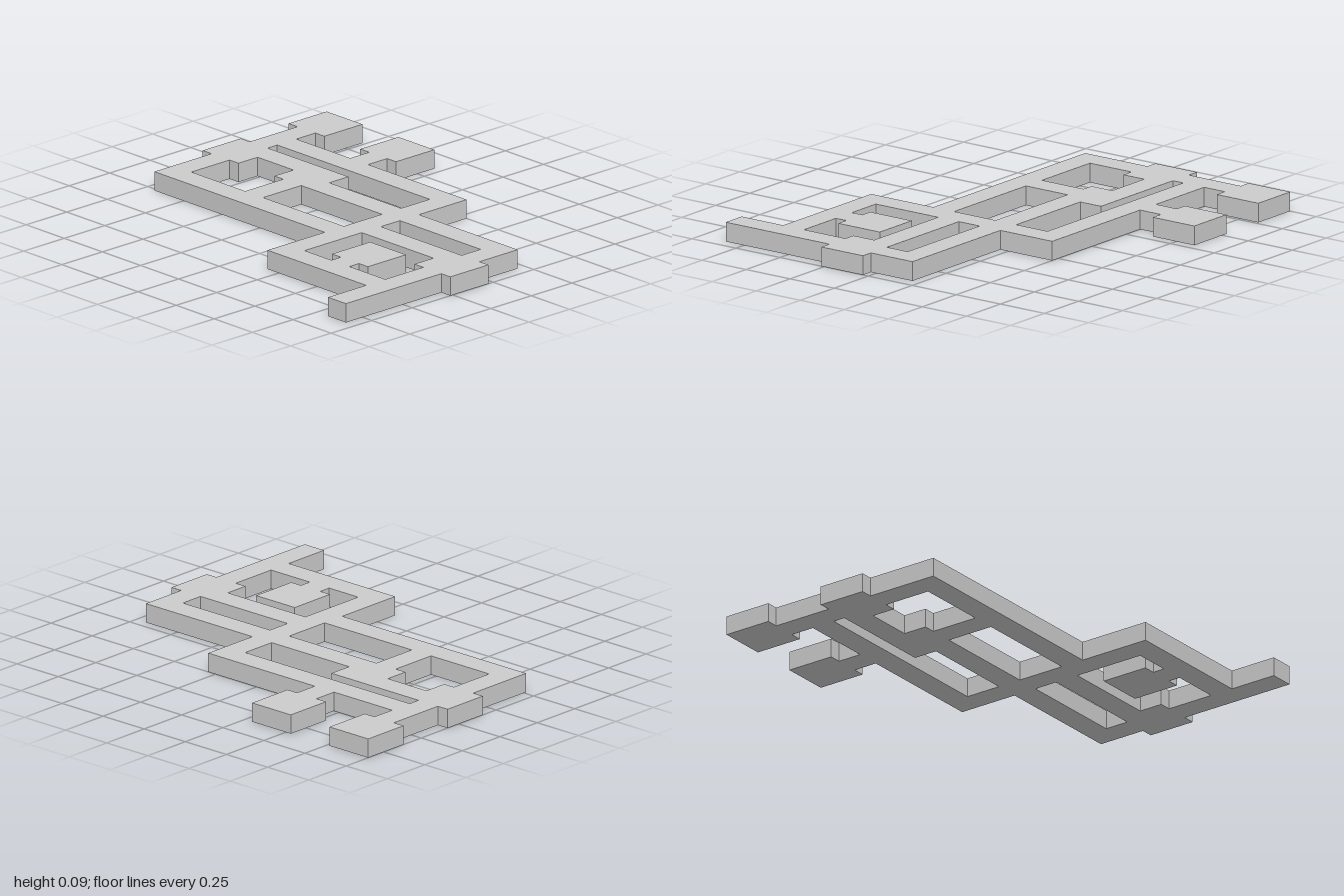
import * as THREE from 'three';

// Floor plan laid out on a square grid: 29 cells wide (x), 34 cells deep (z)
const CELL = 1 / 17;
const HEIGHT = 0.09;

const toPoints = (corners) =>
  corners.map(([x, z]) => new THREE.Vector2((x - 14.5) * CELL, (17 - z) * CELL));

// Outer edge of the connected corridors and square rooms, counter-clockwise from above
const outline = [
  [10, 20], [4, 20], [4, 31], [0, 31], [0, 33], [10, 33], [10, 34], [14, 34],
  [14, 33], [18, 33], [18, 22], [23, 22], [23, 11], [25, 11], [25, 12], [29, 12],
  [29, 8], [25, 8], [25, 9], [23, 9], [23, 3], [25, 3], [25, 4], [29, 4],
  [29, 0], [25, 0], [25, 1], [20, 1], [20, 0], [16, 0], [16, 1], [10, 1],
];

// Open courts enclosed by the corridors, clockwise from above
const courts = [
  // back court, notched by two rooms
  [[12, 3], [16, 3], [16, 4], [18, 4], [18, 8], [16, 8], [16, 9], [12, 9]],
  // middle court
  [[12, 11], [16, 11], [16, 20], [12, 20]],
  // long slot beside the rooms
  [[20, 3], [21, 3], [21, 20], [18, 20], [18, 12], [20, 12]],
  // front court, wrapping round a room on a short stub
  [[6, 22], [12, 22], [12, 30], [10, 30], [10, 31], [6, 31], [6, 27], [7, 27],
    [7, 28], [11, 28], [11, 24], [7, 24], [7, 25], [6, 25]],
  // narrow front court
  [[14, 22], [16, 22], [16, 31], [14, 31]],
];

export function createModel() {
  const group = new THREE.Group();
  group.name = 'floorPlan';

  const shape = new THREE.Shape(toPoints(outline));
  for (const court of courts) shape.holes.push(new THREE.Path(toPoints(court)));

  // Extrude upward, then lay the plan flat on the ground
  const geometry = new THREE.ExtrudeGeometry(shape, { depth: HEIGHT, bevelEnabled: false });
  geometry.rotateX(-Math.PI / 2);

  const slab = new THREE.Mesh(
    geometry,
    new THREE.MeshStandardMaterial({ color: 0xcccccc, flatShading: true }),
  );
  slab.name = 'corridorsAndRooms';
  group.add(slab);
  return group;
}
